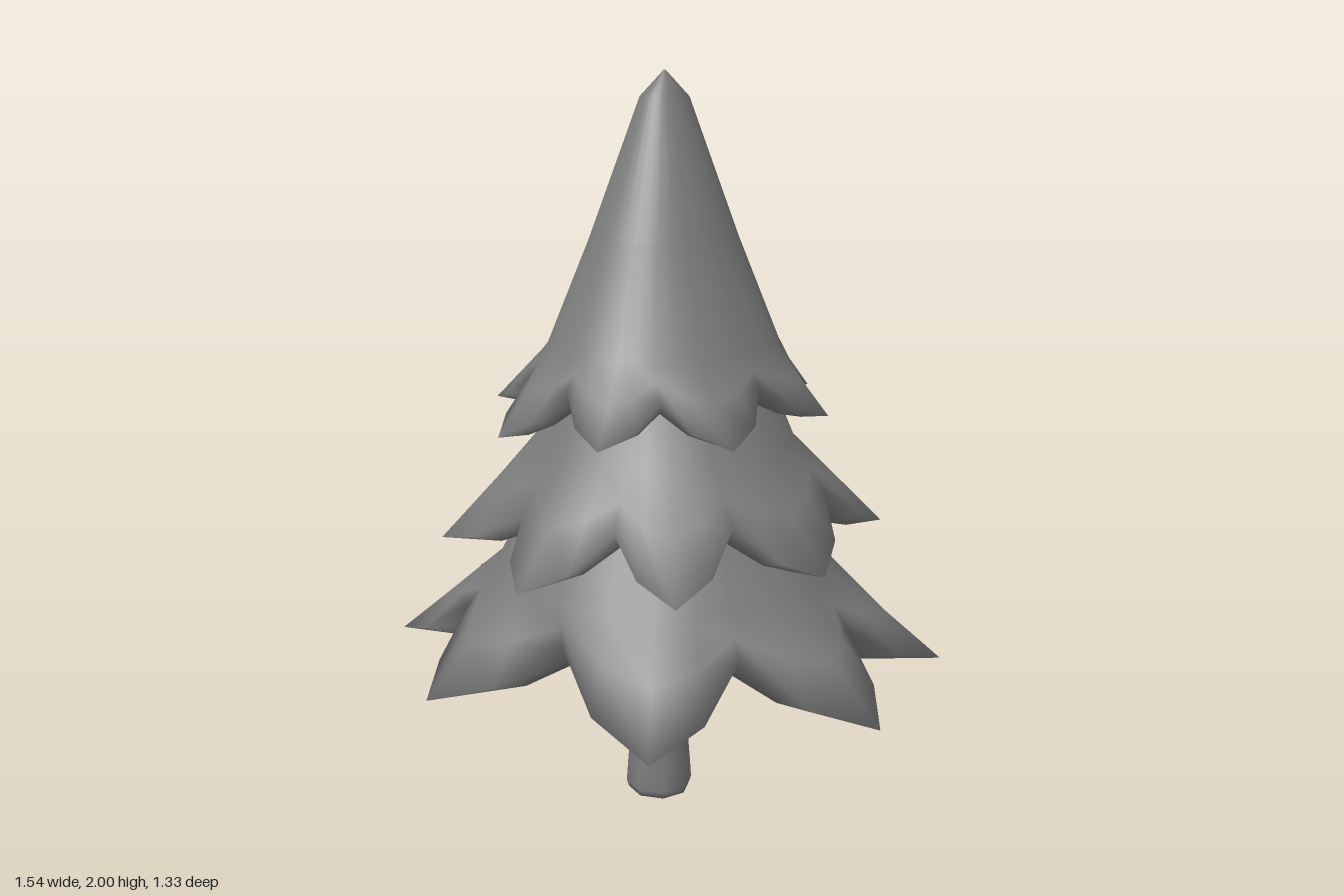
import * as THREE from 'three';

const material = new THREE.MeshStandardMaterial({ color: 0x7c7c7c, side: THREE.DoubleSide });
const CX = 0.03, CZ = 0.015; // axis of the foliage

// Skin a list of closed rings (each an array of Vector3) running downwards
function skin(rings) {
  const n = rings[0].length, pos = [], index = [];
  rings.forEach(ring => ring.forEach(p => pos.push(p.x, p.y, p.z)));
  for (let i = 0; i < rings.length - 1; i++) {
    for (let j = 0; j < n; j++) {
      const k = (j + 1) % n;
      const a = i * n + j, b = i * n + k, c = a + n, d = b + n;
      index.push(a, b, c, b, d, c);
    }
  }
  const g = new THREE.BufferGeometry();
  g.setAttribute('position', new THREE.Float32BufferAttribute(pos, 3));
  g.setIndex(index);
  g.computeVertexNormals();
  return g;
}

// Leafy rim: each tip and notch joined by an edge that bows outwards
function makeRim(tips, notches) {
  const corners = tips.flatMap((t, i) => [t, notches[i]]).map(p => new THREE.Vector3(...p));
  return corners.flatMap((p, i) => {
    const q = corners[(i + 1) % corners.length];
    const mid = p.clone().lerp(q, 0.5);
    mid.x += 0.1 * (q.z - p.z);
    mid.z -= 0.1 * (q.x - p.x);
    mid.y -= 0.15 * Math.abs(q.y - p.y);
    return [p, mid];
  });
}

// One tier: body rings [radius, y], flaring to the rim, then a thick rounded underside
function makeTier(name, { body, tips, notches, under, zScale = 1 }) {
  const rim = makeRim(tips, notches);
  const ring = (r, y) => rim.map(p => {
    const a = Math.atan2(p.z - CZ, p.x - CX);
    return new THREE.Vector3(CX + r * Math.cos(a), y, CZ + r * zScale * Math.sin(a));
  });
  const blend = (r1, r2, t) => r1.map((p, i) => p.clone().lerp(r2[i], t));

  const rows = body.map(([r, y]) => ring(r, y));
  const flare = blend(rows[rows.length - 1], rim, 0.5);
  const inner = ring(under[0], under[1]);
  const lip = blend(rim, inner, 0.3);
  lip.forEach(p => { p.y -= 0.035; });

  const mesh = new THREE.Mesh(
    skin([...rows, flare, rim, lip, inner, ring(0.02, under[1] + 0.01)]), material);
  mesh.name = name;
  return mesh;
}

export function createModel() {
  const model = new THREE.Group();
  model.name = 'pineTree';

  // Trunk, narrowed in the middle
  const profile = [[0, 0], [0.088, 0], [0.094, 0.02], [0.09, 0.08], [0.08, 0.2],
    [0.082, 0.38], [0.097, 0.52], [0.1, 0.6]].map(p => new THREE.Vector2(...p));
  const trunk = new THREE.Mesh(new THREE.LatheGeometry(profile, 8), material);
  trunk.name = 'trunk';
  trunk.position.set(0.012, 0, 0.015);
  model.add(trunk);

  // Tips and notches run round from the left side (+x) towards the front
  model.add(makeTier('lowerTier', {
    body: [[0.25, 1.08], [0.37, 0.88], [0.46, 0.7]],
    tips: [[0.77, 0.44, 0.12], [0.42, 0.43, 0.59], [-0.25, 0.43, 0.66], [-0.65, 0.44, 0.37],
      [-0.77, 0.48, -0.07], [-0.38, 0.44, -0.6], [0.26, 0.47, -0.67], [0.69, 0.44, -0.37]],
    notches: [[0.46, 0.59, 0.28], [0.06, 0.6, 0.48], [-0.33, 0.6, 0.42], [-0.51, 0.59, 0.1],
      [-0.42, 0.6, -0.25], [-0.05, 0.6, -0.48], [0.36, 0.6, -0.39], [0.55, 0.58, -0.09]],
    under: [0.22, 0.52],
  }));

  model.add(makeTier('middleTier', {
    body: [[0.18, 1.42], [0.27, 1.24], [0.35, 1.05]],
    tips: [[0.59, 0.79, 0.1], [0.43, 0.79, 0.5], [0.05, 0.78, 0.63], [-0.41, 0.78, 0.43],
      [-0.51, 0.77, -0.08], [-0.35, 0.8, -0.47], [0.03, 0.78, -0.57], [0.49, 0.8, -0.37]],
    notches: [[0.43, 0.93, 0.27], [0.2, 0.91, 0.44], [-0.1, 0.9, 0.44], [-0.39, 0.91, 0.2],
      [-0.37, 0.92, -0.24], [-0.15, 0.92, -0.42], [0.22, 0.92, -0.38], [0.44, 0.93, -0.14]],
    under: [0.28, 0.87],
  }));

  model.add(makeTier('upperTier', {
    body: [[0.002, 2], [0.06, 1.935], [0.185, 1.58], [0.29, 1.31]],
    tips: [[0.43, 1.12, 0.27], [0.2, 1.13, 0.5], [-0.11, 1.12, 0.51], [-0.38, 1.14, 0.23],
      [-0.38, 1.15, -0.18], [-0.14, 1.14, -0.47], [0.19, 1.13, -0.46], [0.44, 1.13, -0.15]],
    notches: [[0.25, 1.22, 0.32], [0.03, 1.24, 0.41], [-0.2, 1.22, 0.29], [-0.29, 1.23, 0.02],
      [-0.2, 1.22, -0.28], [0.03, 1.24, -0.37], [0.27, 1.22, -0.21], [0.36, 1.23, 0.06]],
    under: [0.2, 1.22],
    zScale: 1.15,
  }));

  return model;
}
